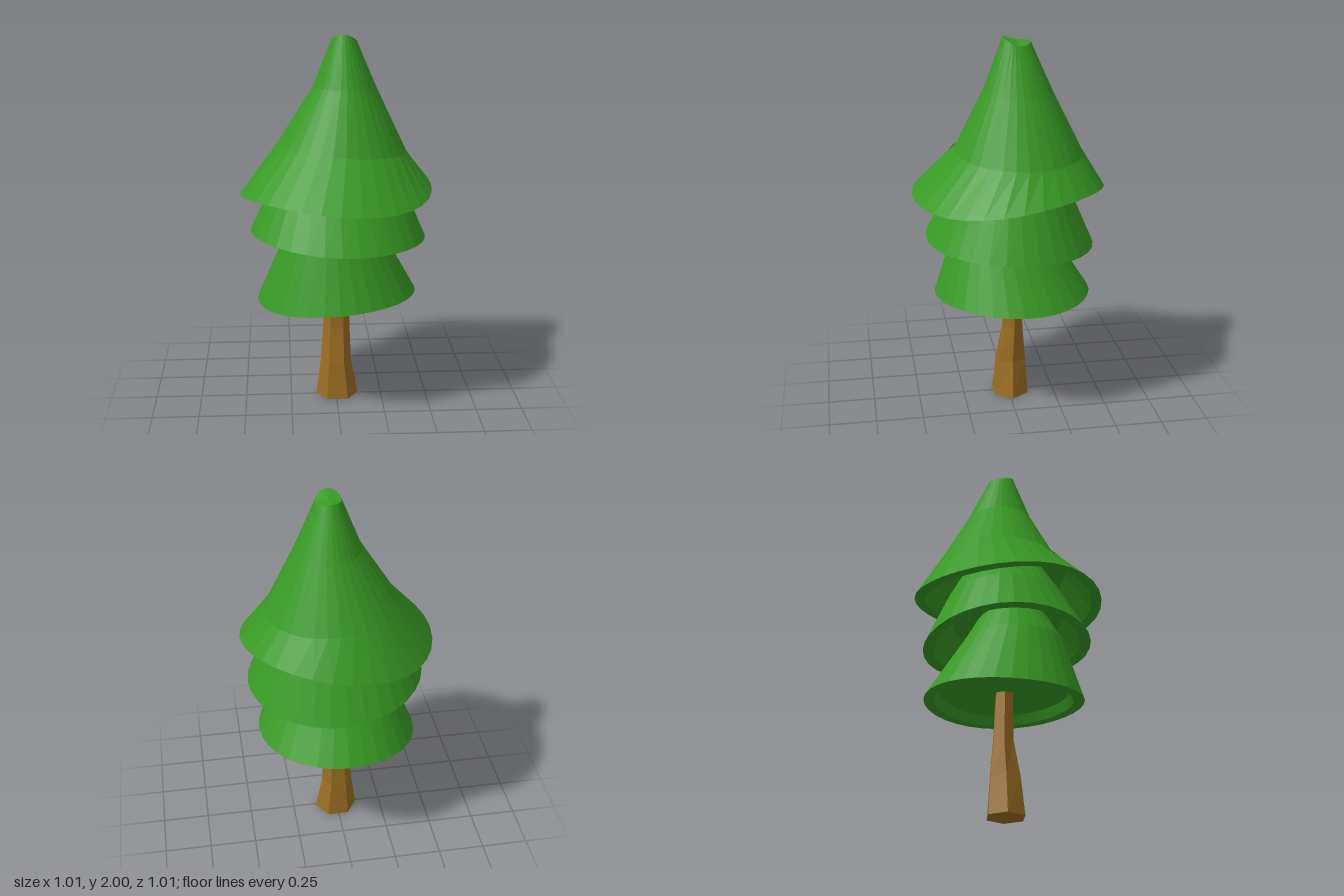
import * as THREE from 'three';

// Ring: centre x, y, z, radii rx and rz, tilt along x and z,
// and saddle waves along the axes (waveAxis) and the diagonals (waveDiag).
const ring = (x, y, z, rx, rz = rx, tiltX = 0, tiltZ = 0, waveAxis = 0, waveDiag = 0) =>
  ({ x, y, z, rx, rz, tiltX, tiltZ, waveAxis, waveDiag });

// Skin a stack of rings with flat facets.
function loft(rings, sides) {
  const positions = [], index = [];
  for (const r of rings) {
    for (let j = 0; j < sides; j++) {
      const a = (j / sides) * Math.PI * 2;
      const dx = r.rx * Math.cos(a), dz = r.rz * Math.sin(a);
      const wave = r.waveAxis * Math.cos(2 * a) + r.waveDiag * Math.sin(2 * a);
      positions.push(r.x + dx, r.y + dx * r.tiltX + dz * r.tiltZ + wave, r.z + dz);
    }
  }
  for (let i = 0; i < rings.length - 1; i++) {
    for (let j = 0; j < sides; j++) {
      const k = (j + 1) % sides;
      const a = i * sides + j, b = i * sides + k;
      const c = a + sides, d = b + sides;
      if (rings[i].rx > 0) index.push(a, c, b);
      if (rings[i + 1].rx > 0) index.push(b, c, d);
    }
  }
  const indexed = new THREE.BufferGeometry();
  indexed.setAttribute('position', new THREE.Float32BufferAttribute(positions, 3));
  indexed.setIndex(index);
  const geometry = indexed.toNonIndexed();
  geometry.computeVertexNormals();
  return geometry;
}

// Foliage skirt: recessed underside, flat rim, sloping sides and a closed top.
function skirt(sideRings, lip, depth, inset) {
  const rim = sideRings[0], top = sideRings[sideRings.length - 1];
  const inner = { ...rim, rx: rim.rx - lip, rz: rim.rz - lip };
  const ceiling = { ...inner, y: rim.y + depth, rx: inner.rx - inset, rz: inner.rz - inset };
  const centreOf = (r) => ring(r.x, r.y, r.z, 0);
  return loft([centreOf(ceiling), ceiling, inner, ...sideRings, top, centreOf(top)], 32);
}

export function createModel() {
  const tree = new THREE.Group();
  tree.name = 'pineTree';

  const foliage = new THREE.MeshStandardMaterial({ color: 0x389a24 });
  foliage.name = 'foliageGreen';
  const bark = new THREE.MeshStandardMaterial({ color: 0x9c6e22 });
  bark.name = 'barkBrown';

  const add = (name, geometry, material) => {
    const mesh = new THREE.Mesh(geometry, material);
    mesh.name = name;
    tree.add(mesh);
  };

  // Slightly bent six-sided trunk
  add('trunk', loft([
    ring(0.005, 0, -0.01, 0),
    ring(0.005, 0, -0.01, 0.115, 0.106),
    ring(0, 0.2, -0.015, 0.084, 0.087),
    ring(0.003, 0.4, -0.025, 0.073, 0.058),
    ring(0.01, 0.7, -0.018, 0.064, 0.048),
  ], 6), bark);

  // Three overlapping skirts, each leaning its own way
  add('lowerFoliage', skirt([
    ring(0.003, 0.608, -0.02, 0.428, 0.42, 0.055, 0, -0.01, 0.006),
    ring(-0.01, 0.94, 0.03, 0.265),
    ring(-0.01, 1.12, 0.03, 0.165),
  ], 0.058, 0.05, 0.025), foliage);

  add('middleFoliage', skirt([
    ring(0.01, 0.935, -0.005, 0.468, 0.447, -0.045, 0.05, 0.013),
    ring(0.005, 1.18, -0.01, 0.363, 0.32),
    ring(0.005, 1.42, -0.02, 0.2, 0.185),
  ], 0.058, 0.14, 0.1), foliage);

  add('upperFoliage', skirt([
    ring(0, 1.188, 0, 0.507, 0.507, 0.035, -0.02, 0, -0.033),
    ring(0.037, 1.41, -0.05, 0.338, 0.335, -0.08, 0.02),
    ring(0.05, 1.72, -0.047, 0.168, 0.182, -0.05, 0.05),
    ring(0.045, 1.979, -0.037, 0.065, 0.071, -0.12, 0.18, -0.01),
  ], 0.055, 0.19, 0.137), foliage);

  return tree;
}
